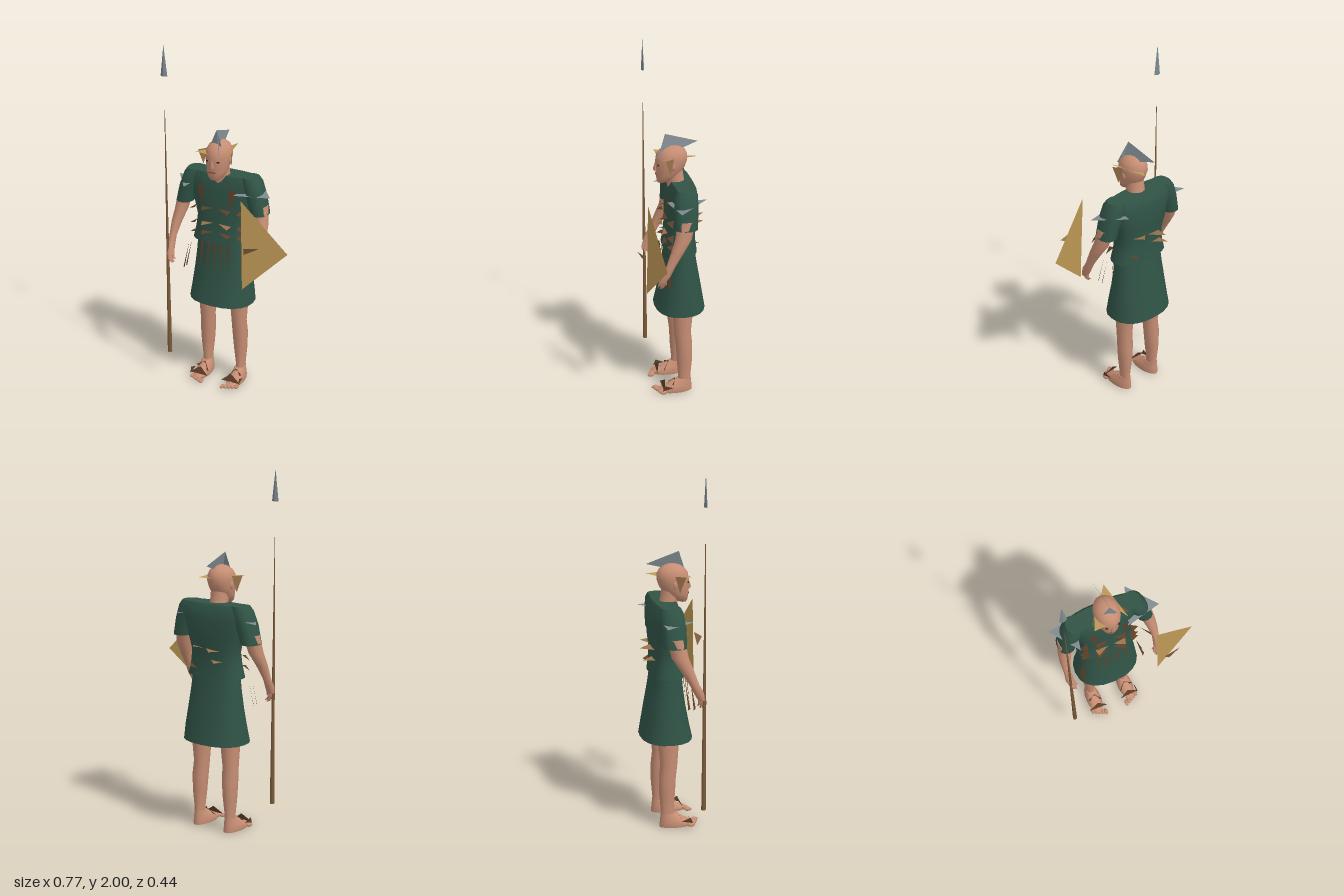
import * as THREE from 'three';
import { toCreasedNormals } from 'three/addons/utils/BufferGeometryUtils.js';

const CX = -0.085; // body midline

const material = (name, color, side = THREE.FrontSide) => {
  const m = new THREE.MeshStandardMaterial({ color, side });
  m.name = name;
  return m;
};

// Closed or open skin through horizontal rings [y, x, z, rx, rz], listed bottom to top
function loft(rings, { n = 14, power = 1, bottom = true, top = true } = {}) {
  const pos = [], idx = [];
  const bend = v => Math.sign(v) * Math.abs(v) ** power;
  for (const [y, x, z, rx, rz] of rings)
    for (let i = 0; i < n; i++) {
      const a = (i / n) * Math.PI * 2;
      pos.push(x + rx * bend(Math.sin(a)), y, z + rz * bend(Math.cos(a)));
    }
  for (let r = 0; r < rings.length - 1; r++)
    for (let i = 0; i < n; i++) {
      const a = r * n + i, b = r * n + ((i + 1) % n);
      idx.push(a, b, b + n, a, b + n, a + n);
    }
  const cap = (r, up) => {
    const c = pos.length / 3;
    pos.push(rings[r][1], rings[r][0], rings[r][2]);
    for (let i = 0; i < n; i++) {
      const a = r * n + i, b = r * n + ((i + 1) % n);
      idx.push(c, ...(up ? [a, b] : [b, a]));
    }
  };
  if (bottom) cap(0, false);
  if (top) cap(rings.length - 1, true);
  const g = new THREE.BufferGeometry();
  g.setAttribute('position', new THREE.Float32BufferAttribute(pos, 3));
  g.setIndex(idx);
  return toCreasedNormals(g, 0.9);
}

// Single thin triangle
function shard(...p) {
  const g = new THREE.BufferGeometry();
  g.setAttribute('position', new THREE.Float32BufferAttribute(p.flat(), 3));
  g.computeVertexNormals();
  return g;
}

export function createModel() {
  const model = new THREE.Group();
  model.name = 'spearSoldier';
  const D = THREE.DoubleSide;
  const cloth = material('green cloth', 0x305346, D);
  const skin = material('skin', 0xc68d73);
  const wood = material('wood', 0x7d5c3a);
  const gold = material('gold', 0xbd9855, D);
  const bronze = material('bronze', 0x98704a, D);
  const leather = material('dark leather', 0x5e3f28, D);
  const steel = material('steel', 0x7f8b90, D);
  const dark = material('eye dark', 0x33241c);
  const lip = material('lip red', 0x8c4f42);

  const add = (name, geo, mat, x = 0, y = 0, z = 0) => {
    const m = new THREE.Mesh(geo, mat);
    m.name = name;
    m.position.set(x, y, z);
    model.add(m);
    return m;
  };

  // Head and neck
  add('head', loft([
    [1.272, CX, 0.035, 0.022, 0.02], [1.285, CX, 0.022, 0.042, 0.04],
    [1.32, CX, 0, 0.058, 0.065], [1.36, CX, -0.013, 0.066, 0.082],
    [1.4, CX, -0.02, 0.071, 0.089], [1.43, CX, -0.022, 0.069, 0.086],
    [1.455, CX, -0.024, 0.057, 0.071], [1.472, CX, -0.025, 0.038, 0.048],
    [1.482, CX, -0.025, 0.014, 0.02]], { n: 18 }), skin);
  add('neck', loft([[1.23, CX, -0.055, 0.058, 0.055], [1.29, CX, -0.04, 0.05, 0.05],
    [1.36, CX, -0.03, 0.05, 0.05]]), skin);
  add('nose', loft([[1.342, CX, 0.064, 0.014, 0.014], [1.352, CX, 0.066, 0.015, 0.016],
    [1.395, CX, 0.062, 0.006, 0.007]], { n: 6 }), skin);
  add('mouth', new THREE.BoxGeometry(0.04, 0.007, 0.009), lip, CX, 1.32, 0.063);

  // Torso of the tunic, with flared waist hem, and skirt
  add('tunicTorso', loft([
    [0.88, CX, -0.062, 0.172, 0.092], [0.95, CX, -0.062, 0.156, 0.083],
    [1.02, CX, -0.065, 0.148, 0.08], [1.1, CX, -0.07, 0.17, 0.083],
    [1.2, CX, -0.075, 0.196, 0.08], [1.255, CX, -0.073, 0.215, 0.072],
    [1.282, CX, -0.07, 0.2, 0.058]], { n: 20, power: 0.75, bottom: false }), cloth);
  add('skirt', loft([
    [0.515, CX - 0.003, -0.064, 0.191, 0.143], [0.6, CX, -0.066, 0.182, 0.126],
    [0.7, CX, -0.067, 0.168, 0.108], [0.8, CX, -0.065, 0.156, 0.092],
    [0.9, CX, -0.062, 0.146, 0.08]], { n: 20, power: 0.85, bottom: false }), cloth);

  // Paired parts, mirrored about the midline
  for (const s of [-1, 1]) {
    const side = s < 0 ? 'right' : 'left';
    const X = d => CX + s * d;
    const limb = rings => rings.map(([y, d, z, rx, rz]) => [y, X(d), z, rx, rz]);

    add(side + 'Sleeve', loft(limb([
      [1.08, 0.232, -0.06, 0.049, 0.062], [1.18, 0.206, -0.063, 0.053, 0.067],
      [1.255, 0.18, -0.068, 0.053, 0.064], [1.282, 0.165, -0.07, 0.05, 0.052]]),
      { power: 0.85, bottom: false }), cloth);
    add(side + 'Arm', loft(limb([
      [0.79, 0.263, 0.078, 0.02, 0.022], [0.83, 0.269, 0.06, 0.023, 0.028],
      [0.88, 0.269, 0.034, 0.019, 0.026], [0.96, 0.263, -0.005, 0.029, 0.036],
      [1.03, 0.25, -0.04, 0.037, 0.046], [1.13, 0.232, -0.06, 0.042, 0.05]])), skin);
    for (let f = 0; f < 4; f++)
      add(side + 'Finger', loft(limb([
        [0.735 + Math.abs(f - 1.5) * 0.012, 0.248 - f * 0.002, 0.1 - f * 0.013, 0.005, 0.005],
        [0.77, 0.262, 0.098 - f * 0.012, 0.008, 0.007],
        [0.8, 0.265, 0.09 - f * 0.01, 0.008, 0.007]]), { n: 6 }), skin);
    add(side + 'Thumb', loft(limb([[0.775, 0.238, 0.085, 0.005, 0.006],
      [0.83, 0.257, 0.065, 0.01, 0.01]]), { n: 6 }), skin);

    add(side + 'Leg', loft(limb([
      [0.03, 0.107, -0.075, 0.029, 0.044], [0.1, 0.107, -0.077, 0.026, 0.036],
      [0.2, 0.106, -0.077, 0.037, 0.045], [0.3, 0.104, -0.075, 0.044, 0.048],
      [0.38, 0.101, -0.066, 0.042, 0.049], [0.51, 0.1, -0.068, 0.052, 0.06],
      [0.7, 0.085, -0.068, 0.062, 0.066]])), skin);
    add(side + 'Foot', loft(limb([
      [0.008, 0.107, -0.023, 0.042, 0.098], [0.025, 0.107, -0.021, 0.046, 0.1],
      [0.05, 0.107, -0.045, 0.038, 0.073], [0.085, 0.107, -0.073, 0.028, 0.042]]),
      { n: 16 }), skin);
    for (let t = 0; t < 5; t++) {
      const toe = add(side + 'Toe', new THREE.SphereGeometry(0.011, 8, 6), skin,
        X(0.069 + t * 0.019), 0.016, 0.088 - t * 0.009);
      toe.scale.z = 2;
    }
    // Sandal straps
    add(side + 'FrontStrap', shard([X(0.045), 0.038, 0.055], [X(0.165), 0.035, 0.05],
      [X(0.1), 0.078, 0.035]), leather);
    add(side + 'SideStrap', shard([X(0.155), 0.03, 0.06], [X(0.158), 0.065, 0.045],
      [X(0.155), 0.045, -0.005]), leather);
    add(side + 'AnkleStrap', shard([X(0.06), 0.04, 0.01], [X(0.15), 0.06, -0.005],
      [X(0.1), 0.085, -0.025]), leather);

    // Face
    add(side + 'Eye', new THREE.BoxGeometry(0.02, 0.008, 0.008), dark, X(0.029), 1.382, 0.058);
    add(side + 'Ear', new THREE.SphereGeometry(0.016, 8, 6), skin, X(0.067), 1.375, -0.02)
      .scale.set(0.5, 1.4, 0.8);
    add(side + 'CheekGuard', shard([X(0.104), 1.425, 0.03], [X(0.072), 1.425, -0.022],
      [X(0.087), 1.335, 0]), bronze);

    // Chest straps, front and sides
    add(side + 'ChestStrap', shard([X(0.075), 1.21, 0.016], [X(0.12), 1.21, 0.01],
      [X(0.085), 1.1, 0.024]), leather);
    [1.09, 1.0, 0.945].forEach((y, i) => {
      add(side + 'ChestBand', shard([X(0.09), y, 0.018], [X(0.015), y + 0.006, 0.024],
        [X(0.08), y - 0.012, 0.05]), i % 2 ? bronze : leather);
      add(side + 'SideBand', shard([X(0.13), y, -0.01], [X(0.175), y - 0.03, 0.005],
        [X(0.13), y - 0.01, 0.03]), leather);
    });
    // Hanging strips at the hips
    for (const z of [0.01, 0.04])
      add(side + 'HipStrip', shard([X(0.16), 0.87, z], [X(0.195), 0.71, z + 0.01],
        [X(0.18), 0.715, z + 0.025]), leather);
  }

  // Hanging strips on the skirt front
  for (let i = -2; i <= 2; i++) {
    const x = CX + i * 0.04;
    add('skirtStrip', shard([x - 0.007, 0.89, 0.036], [x + i * 0.004, 0.71, 0.054],
      [x + 0.008, 0.88, 0.036]), leather);
  }

  // Belt pieces standing off the back
  add('backBand', shard([-0.18, 0.98, -0.21], [-0.18, 0.975, -0.13], [-0.1, 0.98, -0.135]), bronze);
  add('backBand', shard([-0.15, 1.04, -0.218], [-0.17, 1.03, -0.13], [-0.07, 1.04, -0.14]), bronze);
  add('backBand', shard([-0.02, 1.05, -0.188], [-0.07, 1.04, -0.14], [0.02, 1.045, -0.135]), bronze);
  add('backBand', shard([0.02, 0.93, -0.165], [-0.04, 0.92, -0.13], [0.05, 0.95, -0.11]), leather);

  // Helmet crest and rim
  add('helmetCrest', shard([-0.045, 1.42, 0.062], [-0.083, 1.548, 0.015], [-0.1, 1.49, -0.17]), steel);
  add('helmetCrest', shard([-0.12, 1.465, 0.01], [-0.083, 1.548, 0.015], [-0.045, 1.465, 0.03]), steel);
  add('helmetRim', shard([-0.19, 1.425, 0.06], [-0.145, 1.415, -0.04], [-0.09, 1.415, 0.055]), gold);
  add('helmetRim', shard([-0.04, 1.425, -0.16], [-0.085, 1.415, -0.1], [0.005, 1.425, 0.06]), gold);

  // Shoulder plates
  add('rightShoulderPlate', shard([-0.388, 1.2, -0.117], [-0.27, 1.2, 0.052], [-0.23, 1.215, -0.13]), steel);
  add('leftShoulderPlate', shard([0.09, 1.22, -0.182], [0.223, 1.195, -0.02], [0.02, 1.19, 0.025]), steel);

  // Shield and its boss
  add('shield', shard([0.13, 1.225, 0.148], [0.145, 0.71, 0.16], [0.382, 0.94, 0.09]), gold);
  add('shieldBoss', shard([0.168, 0.935, 0.187], [0.26, 0.99, 0.19], [0.18, 0.985, 0.217]), bronze);
  add('shieldStrap', shard([0.09, 1.08, 0.02], [0.15, 0.98, 0.06], [0.14, 1.02, 0.05]), leather);

  // Spear
  const spear = (name, r1, r0, y0, y1, mat) =>
    add(name, new THREE.CylinderGeometry(r1, r0, y1 - y0, 6), mat, -0.359, (y0 + y1) / 2, 0.087);
  spear('spearShaft', 0.005, 0.013, 0.16, 1.2, wood);
  spear('spearShaftTip', 0.0015, 0.005, 1.2, 1.64, wood);
  const tip = add('spearHead', new THREE.ConeGeometry(0.021, 0.17, 4).toNonIndexed(), steel, -0.359, 1.915, 0.087);
  tip.geometry.computeVertexNormals();
  tip.scale.z = 0.45;

  return model;
}
